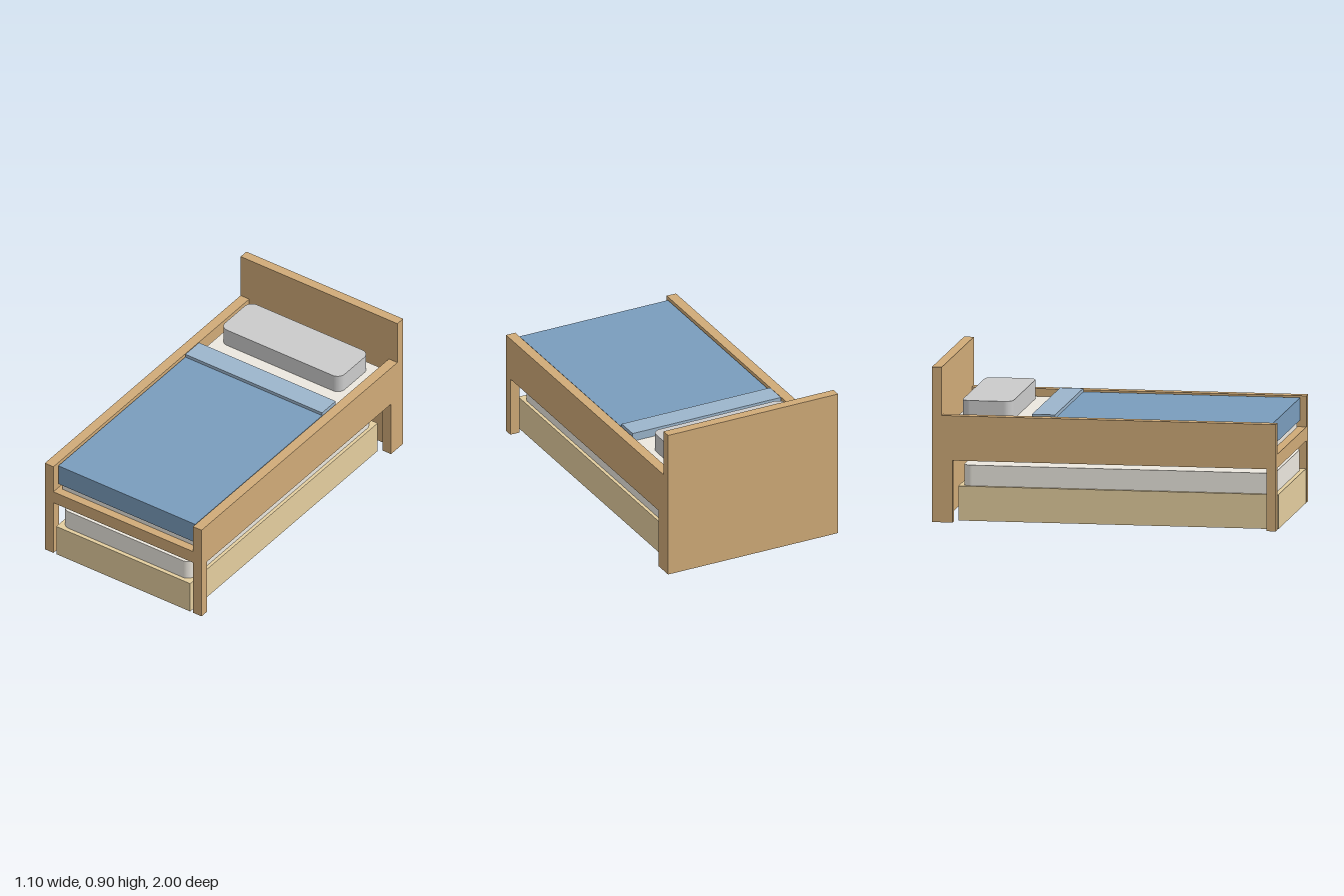
import * as THREE from 'three';

const material = (color) => new THREE.MeshStandardMaterial({ color });

export function createModel() {
  const bed = new THREE.Group();
  bed.name = 'trundleBed';

  const wood = material(0xd0ab78);
  const paleWood = material(0xe4ce9f);
  const sheet = material(0xece8df);
  const grey = material(0xcccccc);
  const blue = material(0x7a9dbd);
  const paleBlue = material(0x9cb5cc);

  const add = (name, geometry, mat) => {
    const mesh = new THREE.Mesh(geometry, mat);
    mesh.name = name;
    bed.add(mesh);
    return mesh;
  };

  // Box spanning x = -halfWidth..halfWidth and the given y and z ranges
  const box = (name, mat, halfWidth, y0, y1, z0, z1) =>
    add(name, new THREE.BoxGeometry(halfWidth * 2, y1 - y0, z1 - z0), mat)
      .position.set(0, (y0 + y1) / 2, (z0 + z1) / 2);

  // Upright slab with rounded vertical corners
  const cushion = (name, mat, w, y0, y1, z0, z1, r) => {
    const d = (z1 - z0) / 2;
    const s = new THREE.Shape();
    s.moveTo(w, d - r);
    s.absarc(w - r, d - r, r, 0, Math.PI / 2);
    s.absarc(r - w, d - r, r, Math.PI / 2, Math.PI);
    s.absarc(r - w, r - d, r, Math.PI, Math.PI * 1.5);
    s.absarc(w - r, r - d, r, Math.PI * 1.5, Math.PI * 2);
    const geo = new THREE.ExtrudeGeometry(s, { depth: y1 - y0, bevelEnabled: false, curveSegments: 8 });
    geo.rotateX(-Math.PI / 2);
    add(name, geo, mat).position.set(0, y0, (z0 + z1) / 2);
  };

  // Frame: headboard and platform
  box('headboard', wood, 0.55, 0, 0.9, -1, -0.943);
  box('platform', wood, 0.49, 0.36, 0.44, -0.943, 1);

  // Side rails with their legs, drawn as (z, y) profiles
  const profile = new THREE.Shape([
    [-0.943, 0], [-0.88, 0], [-0.88, 0.36], [0.945, 0.36],
    [0.945, 0], [1, 0], [1, 0.62], [-0.943, 0.62],
  ].map(([z, y]) => new THREE.Vector2(z, y)));
  for (const [name, x] of [['leftRail', 0.55], ['rightRail', -0.49]]) {
    const geo = new THREE.ExtrudeGeometry(profile, { depth: 0.06, bevelEnabled: false });
    geo.rotateY(-Math.PI / 2); // profile z runs along +z, thickness along -x
    add(name, geo, wood).position.x = x;
  }

  // Upper bedding
  box('mattress', sheet, 0.46, 0.44, 0.58, -0.89, 0.95);
  box('blanket', blue, 0.48, 0.48, 0.61, -0.3, 0.965);
  box('blanketFold', paleBlue, 0.48, 0.575, 0.63, -0.43, -0.295);
  cushion('pillow', grey, 0.42, 0.58, 0.69, -0.85, -0.555, 0.05);

  // Pull-out lower bed
  box('trundle', paleWood, 0.47, 0, 0.2, -0.86, 1);
  cushion('trundleMattress', sheet, 0.45, 0.2, 0.32, -0.835, 0.975, 0.05);
  cushion('trundlePillow', grey, 0.25, 0.32, 0.36, -0.8, -0.55, 0.04);

  return bed;
}
